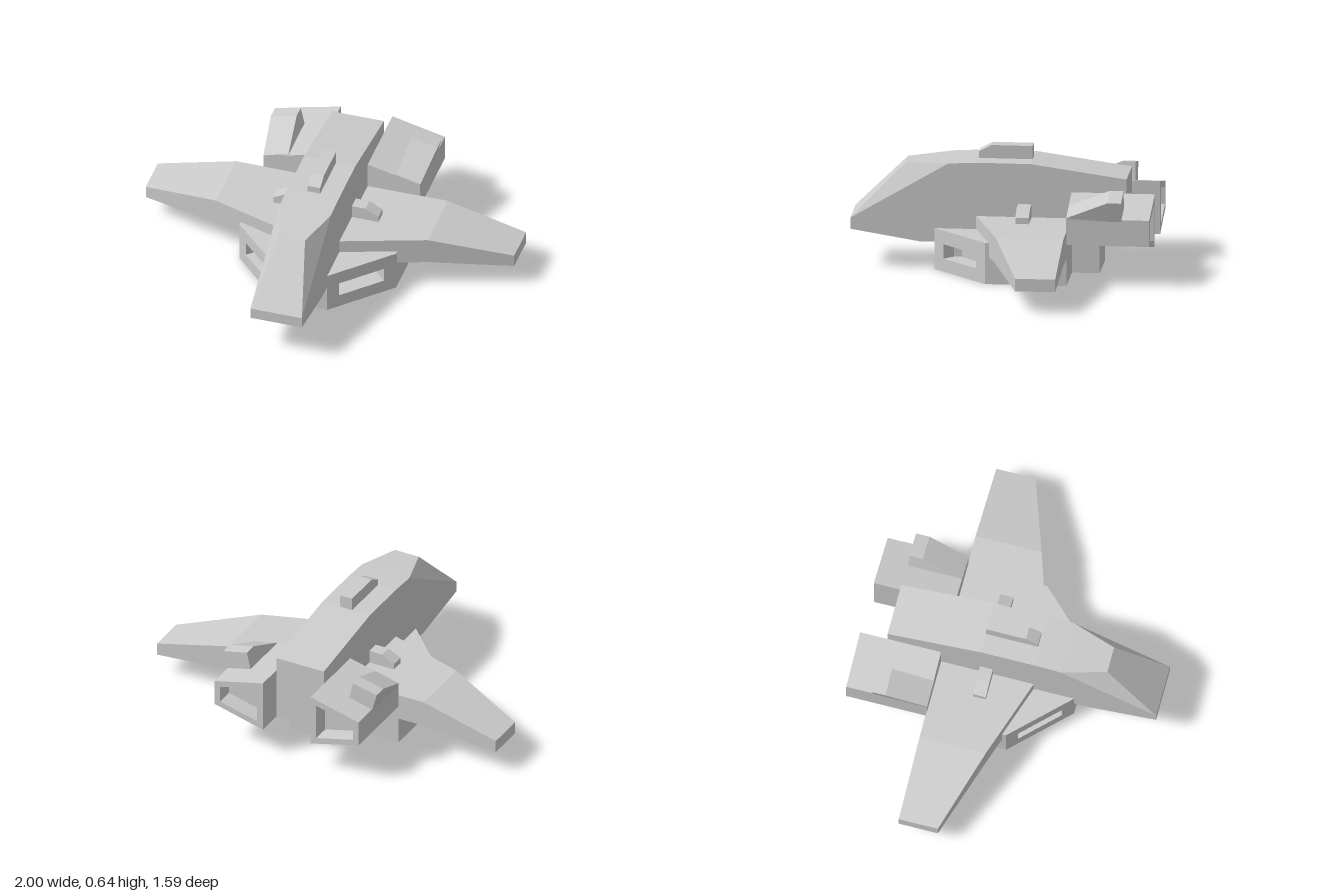
import * as THREE from 'three';
import { ConvexGeometry } from 'three/addons/geometries/ConvexGeometry.js';

const material = new THREE.MeshStandardMaterial({ color: 0xcccccc, flatShading: true });

// Joins equal-sized rings of [x, y, z] corners, counter-clockwise seen from the far end, and caps both ends.
function loft(rings) {
  const pos = [];
  const tri = (a, b, c) => pos.push(...a, ...b, ...c);
  const n = rings[0].length;
  for (let i = 0; i < rings.length - 1; i++) {
    for (let j = 0; j < n; j++) {
      const k = (j + 1) % n;
      const [a, b, c, d] = [rings[i][j], rings[i][k], rings[i + 1][k], rings[i + 1][j]];
      tri(a, b, c);
      tri(a, c, d);
    }
  }
  const first = rings[0], last = rings[rings.length - 1];
  for (let j = 1; j < n - 1; j++) {
    tri(first[0], first[j + 1], first[j]);
    tri(last[0], last[j], last[j + 1]);
  }
  const g = new THREE.BufferGeometry();
  g.setAttribute('position', new THREE.Float32BufferAttribute(pos, 3));
  g.computeVertexNormals();
  return g;
}

// Mirrored rings are reversed so their faces still point outward.
const mirrored = (rings) => rings.map((r) => r.map(([x, y, z]) => [-x, y, z]).reverse());
const atZ = (z, pts) => pts.map(([x, y]) => [x, y, z]);
const atX = (x, pts) => pts.map(([y, z]) => [x, y, z]);

export function createModel() {
  const group = new THREE.Group();
  const add = (name, geometry) => {
    const mesh = new THREE.Mesh(geometry, material);
    mesh.name = name;
    group.add(mesh);
    return mesh;
  };
  const addPair = (name, rings) => {
    add('left' + name, loft(rings));
    add('right' + name, loft(mirrored(rings)));
  };

  // Fuselage: half width, y, z of each corner pair; the cockpit roof is narrower
  const hull = [
    [0.14, 0.205, 0.79], [0.14, 0.265, 0.79], [0.07, 0.55, 0.51], [0.14, 0.567, 0.28],
    [0.14, 0.575, 0.14], [0.14, 0.575, -0.15], [0.14, 0.505, -0.65],
    [0.14, 0.147, -0.65], [0.14, 0.147, 0.43],
  ];
  add('fuselage', new ConvexGeometry(hull.flatMap(([x, y, z]) =>
    [new THREE.Vector3(x, y, z), new THREE.Vector3(-x, y, z)])));

  // Belly keel under the fuselage
  add('bellyKeel', new THREE.BoxGeometry(0.28, 0.15, 0.86)).position.set(0, 0.075, -0.08);

  // Dorsal block with a chamfered front
  const dorsal = [[0.56, -0.15], [0.645, -0.15], [0.645, 0.065], [0.61, 0.13], [0.56, 0.13]];
  add('dorsalBlock', loft([atX(-0.035, dorsal), atX(0.035, dorsal)]));

  // Wings: level inner panel, drooping outer panel
  const wingSection = (x, lo, hi, front) =>
    atX(x, [[lo, -0.365], [hi, -0.365], [hi, front], [lo, front]]);
  addPair('Wing', [
    wingSection(0.13, 0.147, 0.29, 0.137),
    wingSection(0.575, 0.147, 0.29, -0.011),
    wingSection(1, 0.113, 0.18, -0.155),
  ]);

  // Side bellies, each with a recessed intake in its slanted front
  const upright = (x0, z0, x1, z1, lo, hi) =>
    [[x0, lo, z0], [x1, lo, z1], [x1, hi, z1], [x0, hi, z0]];
  addPair('Intake', [
    upright(0.14, -0.365, 0.425, -0.365, 0, 0.22),
    upright(0.14, 0.35, 0.425, 0.06, 0, 0.22),
    upright(0.19, 0.299, 0.375, 0.111, 0.07, 0.147),
    upright(0.12, 0.229, 0.305, 0.041, 0.07, 0.147),
  ]);

  // Engines: tapered outward, with a recessed nozzle
  const shell = [[0.14, 0.147], [0.14, 0.43], [0.425, 0.36], [0.425, 0.22]];
  const nozzle = [[0.175, 0.19], [0.175, 0.387], [0.392, 0.335], [0.392, 0.244]];
  addPair('Engine', [
    atZ(-0.363, shell), atZ(-0.797, shell), atZ(-0.797, nozzle), atZ(-0.7, nozzle),
  ]);

  // Ramped fins standing square on the sloping engine tops
  const finTop = [[0.29, 0.385], [0.313, 0.487], [0.453, 0.455], [0.425, 0.35]];
  addPair('EngineFin', [
    atZ(-0.365, [[0.29, 0.385], [0.291, 0.397], [0.426, 0.364], [0.425, 0.35]]),
    atZ(-0.58, finTop),
    atZ(-0.652, finTop),
  ]);

  // Small chamfered blocks on the wing roots
  const block = [[0.13, 0.28], [0.13, 0.36], [0.215, 0.36], [0.285, 0.323], [0.285, 0.28]];
  addPair('WingBlock', [atZ(-0.085, block), atZ(-0.155, block)]);

  return group;
}
